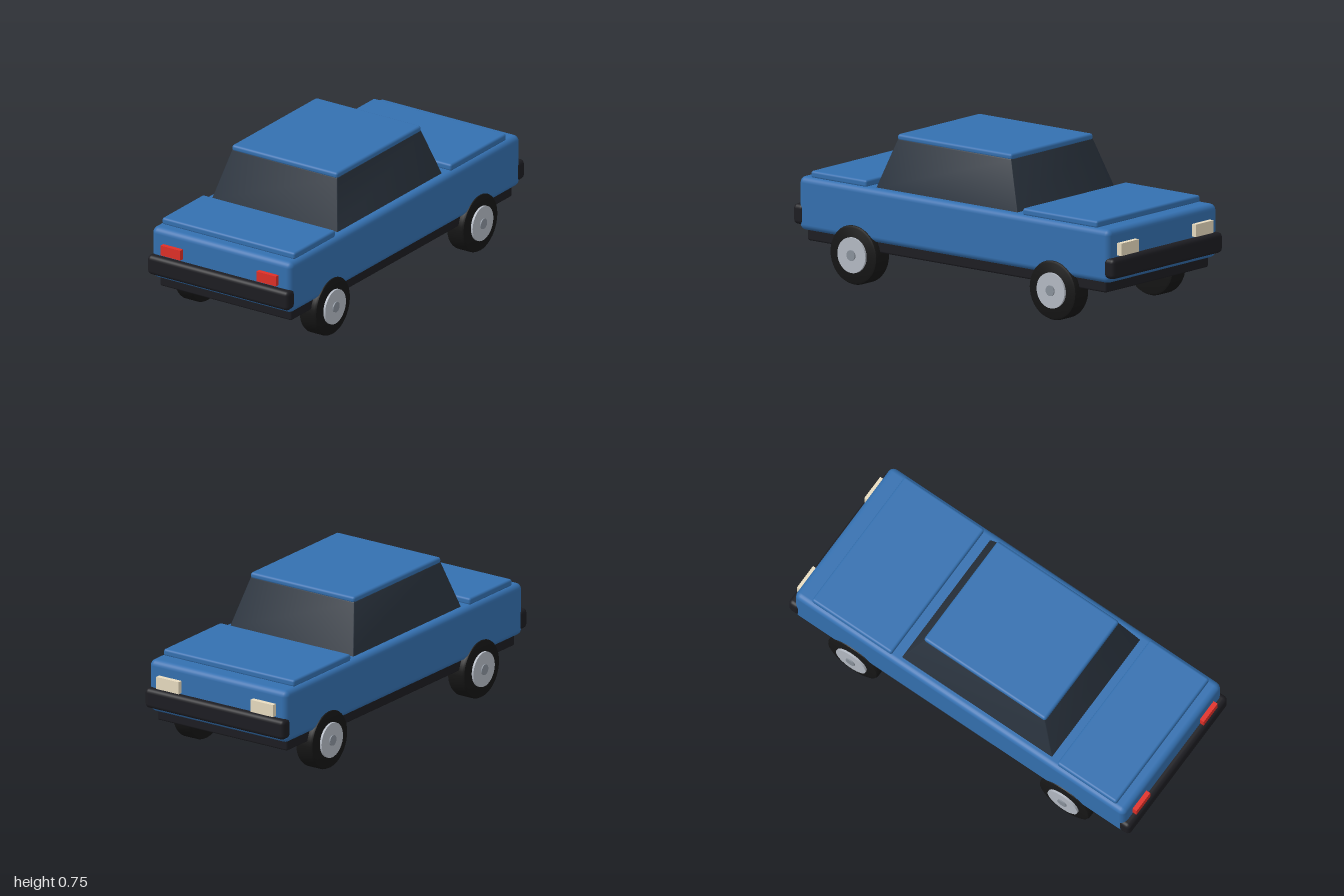
import * as THREE from 'three';
import { toCreasedNormals } from 'three/addons/utils/BufferGeometryUtils.js';
import { RoundedBoxGeometry } from 'three/addons/geometries/RoundedBoxGeometry.js';

const mat = (color) => new THREE.MeshStandardMaterial({ color });
const paint = mat(0x3470b0), glass = mat(0x2a333e), trim = mat(0x1d1d22), rubber = mat(0x161616);
const rimMetal = mat(0xb4bac4), capMetal = mat(0x8a929c), redLens = mat(0xe03028), clearLens = mat(0xe8dcc0);

export function createModel() {
  const car = new THREE.Group();
  car.name = 'car';

  const add = (name, geometry, material, parent = car) => {
    const mesh = new THREE.Mesh(geometry, material);
    mesh.name = name;
    parent.add(mesh);
    return mesh;
  };

  // Box from half width and y / z ranges, with rounded edges when r > 0
  const block = (name, halfX, [y0, y1], [z0, z1], r, material, x = 0) => {
    const size = [halfX * 2, y1 - y0, z1 - z0];
    const geo = r ? new RoundedBoxGeometry(...size, 3, r) : new THREE.BoxGeometry(...size);
    const mesh = add(name, geo, material);
    mesh.position.set(x, (y0 + y1) / 2, (z0 + z1) / 2);
    return mesh;
  };

  // Body shell, floor and lids
  block('body', 0.407, [0.225, 0.487], [-0.967, 0.967], 0.03, paint);
  block('chassis', 0.383, [0.174, 0.24], [-0.93, 0.93], 0.01, trim);
  block('trunkLid', 0.386, [0.482, 0.518], [0.56, 0.907], 0.012, paint);
  block('hood', 0.386, [0.482, 0.518], [-0.877, -0.41], 0.012, paint);
  block('roof', 0.307, [0.718, 0.75], [-0.277, 0.435], 0.013, paint);

  // Glasshouse: a rounded box tapered towards the roof
  const cabinHeight = 0.255;
  const cabin = new RoundedBoxGeometry(2, cabinHeight, 2, 3, 0.01);
  const p = cabin.attributes.position;
  for (let i = 0; i < p.count; i++) {
    const t = p.getY(i) / cabinHeight + 0.5;
    const halfX = THREE.MathUtils.lerp(0.368, 0.304, t);
    const back = THREE.MathUtils.lerp(0.52, 0.43, t);
    const front = THREE.MathUtils.lerp(-0.367, -0.272, t);
    p.setX(i, p.getX(i) * halfX);
    p.setZ(i, (front + back) / 2 + p.getZ(i) * (back - front) / 2);
  }
  add('cabinGlass', toCreasedNormals(cabin, 0.6), glass).position.y = 0.475 + cabinHeight / 2;

  // Bumpers and lamps
  block('rearBumper', 0.411, [0.25, 0.35], [0.935, 1], 0.022, trim);
  block('frontBumper', 0.411, [0.25, 0.35], [-1, -0.935], 0.022, trim);
  for (const s of [1, -1]) {
    block('tailLamp', 0.057, [0.363, 0.414], [0.955, 0.99], 0, redLens, s * 0.278);
    block('headlamp', 0.066, [0.357, 0.418], [-0.992, -0.955], 0, clearLens, s * 0.278);
  }

  // Wheels: tyre, rim disc and centre cap, axis pointing outward
  const tyreProfile = [[0, -0.052], [0.132, -0.052], [0.142, -0.048], [0.147, -0.038],
    [0.147, 0.038], [0.142, 0.048], [0.132, 0.052], [0, 0.052]].map(([r, y]) => new THREE.Vector2(r, y));
  const tyreGeo = toCreasedNormals(new THREE.LatheGeometry(tyreProfile, 40), 0.6);
  const rimGeo = new THREE.CylinderGeometry(0.087, 0.087, 0.03, 32);
  const capGeo = new THREE.CylinderGeometry(0.026, 0.026, 0.02, 20);
  for (const side of [1, -1]) {
    for (const z of [0.62, -0.62]) {
      const wheel = new THREE.Group();
      wheel.name = (z > 0 ? 'rear' : 'front') + (side > 0 ? 'Left' : 'Right') + 'Wheel';
      wheel.position.set(side * 0.363, 0.15, z);
      wheel.rotation.z = -side * Math.PI / 2;
      add('tyre', tyreGeo, rubber, wheel);
      add('rim', rimGeo, rimMetal, wheel).position.y = 0.048;
      add('centreCap', capGeo, capMetal, wheel).position.y = 0.059;
      car.add(wheel);
    }
  }
  return car;
}
